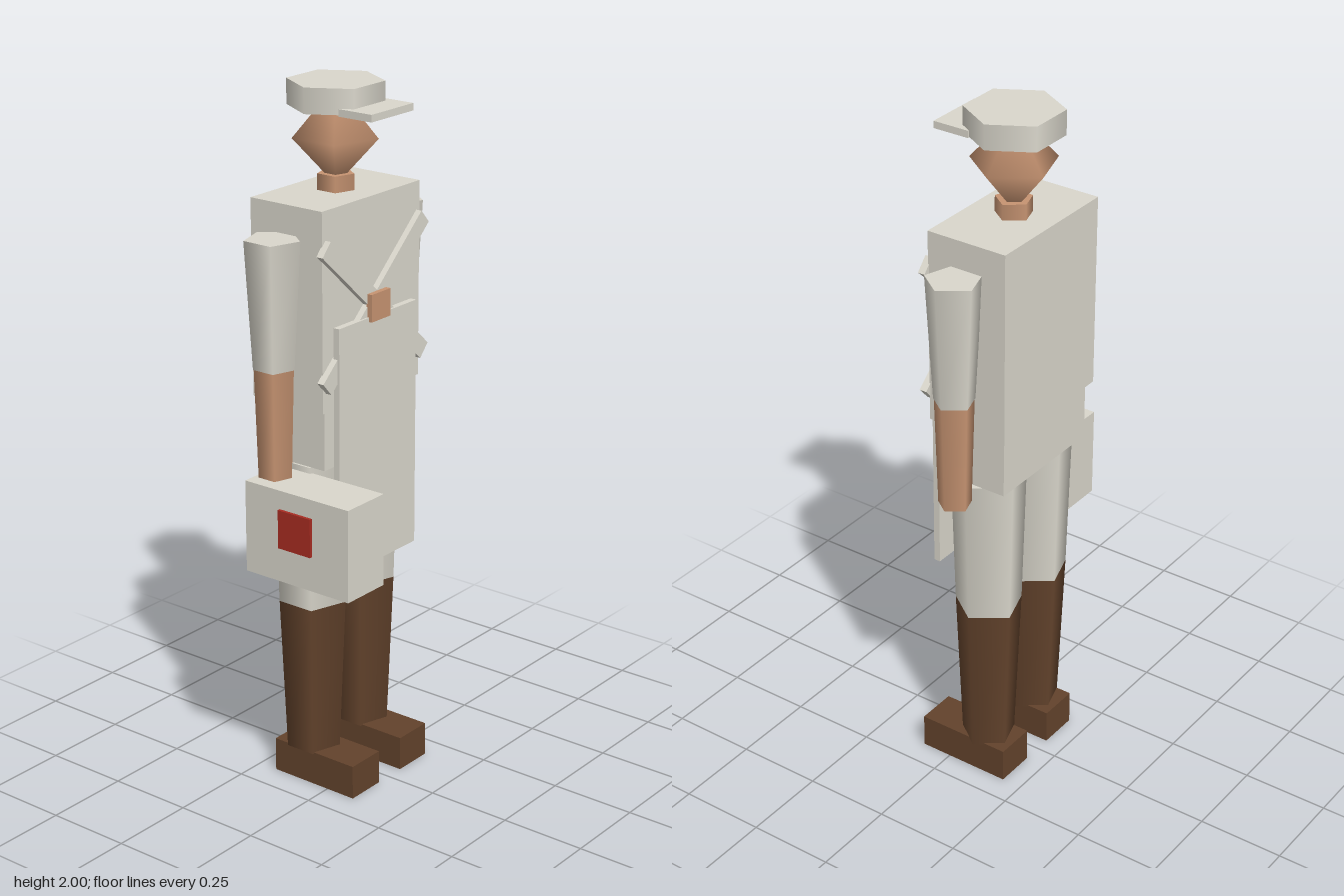
import * as THREE from 'three';

const mat = (name, color) => {
  const m = new THREE.MeshStandardMaterial({ color });
  m.name = name;
  return m;
};

export function createModel() {
  const cloth = mat('cream cloth', 0xdad7cc);
  const skin = mat('skin', 0xc79472);
  const leather = mat('brown leather', 0x63432c);
  const red = mat('red', 0xa82c22);

  const model = new THREE.Group();
  model.name = 'worker';
  const CX = 0.005, CZ = -0.096; // body axis

  const add = (name, geometry, material, x, y, z) => {
    const mesh = new THREE.Mesh(geometry, material);
    mesh.name = name;
    mesh.position.set(x, y, z);
    model.add(mesh);
    return mesh;
  };
  // box given by its limits on each axis
  const box = (name, material, x0, x1, y0, y1, z0, z1) =>
    add(name, new THREE.BoxGeometry(x1 - x0, y1 - y0, z1 - z0), material,
      (x0 + x1) / 2, (y0 + y1) / 2, (z0 + z1) / 2);
  // tapered prism with one corner pointing to +x
  const limb = (name, material, x, y0, y1, r0, r1, sides = 5) =>
    add(name, new THREE.CylinderGeometry(r1, r0, y1 - y0, sides).rotateY(Math.PI / 2),
      material, x, (y0 + y1) / 2, CZ);

  // body
  box('torso', cloth, -0.205, 0.215, 1.15, 1.705, -0.217, 0.025);
  box('hips', cloth, -0.187, 0.197, 0.98, 1.15, -0.203, 0.015);

  // neck, head and cap
  limb('neck', skin, CX, 1.70, 1.75, 0.052, 0.052);
  const head = new THREE.SphereGeometry(0.121, 5, 2).rotateY(Math.PI);
  head.scale(1, 1.12, 1);
  add('head', head, skin, CX, 1.85, CZ);
  limb('cap', cloth, CX, 1.93, 2.0, 0.132, 0.132, 6);
  box('capBrim', cloth, -0.084, 0.094, 1.927, 1.947, -0.015, 0.093);

  // arms and legs
  for (const [side, s] of [['left', 1], ['right', -1]]) {
    const armX = CX + s * 0.265, legX = CX + s * 0.11;
    limb(side + 'Sleeve', cloth, armX, 1.27, 1.625, 0.058, 0.078);
    limb(side + 'Forearm', skin, armX, 0.955, 1.27, 0.047, 0.056);
    limb(side + 'TrouserLeg', cloth, legX, 0.55, 0.98, 0.097, 0.109);
    limb(side + 'BootShaft', leather, legX, 0.095, 0.55, 0.078, 0.097);
    box(side + 'Foot', leather, legX - 0.06, legX + 0.06, 0, 0.1, -0.19, 0.092);
  }

  // apron with crossed straps and buckle
  box('apron', cloth, -0.165, 0.172, 0.667, 1.382, 0.03, 0.049);
  for (const s of [1, -1]) {
    const strap = add(s > 0 ? 'strapRising' : 'strapFalling',
      new THREE.BoxGeometry(0.573, 0.05, 0.021), cloth, CX, 1.415, 0.0325);
    strap.rotation.z = s * THREE.MathUtils.degToRad(42);
  }
  box('buckle', skin, -0.037, 0.045, 1.37, 1.447, 0.04, 0.058);

  // carried case with a red label
  box('case', cloth, -0.337, -0.185, 0.70, 0.963, -0.138, 0.214);
  box('caseLabel', red, -0.346, -0.337, 0.80, 0.91, -0.018, 0.092);

  return model;
}
